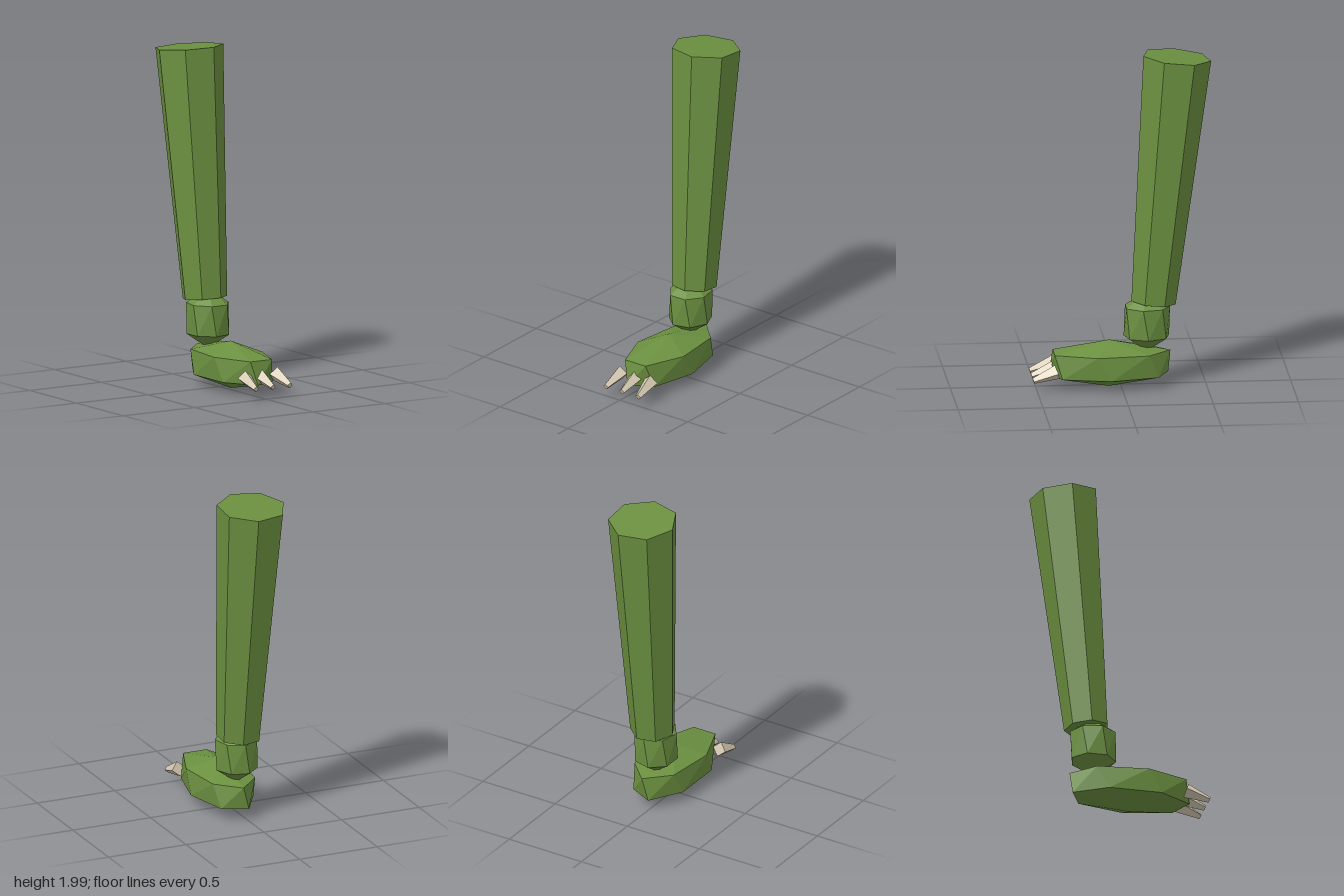
import * as THREE from 'three';
import { ConvexGeometry } from 'three/addons/geometries/ConvexGeometry.js';

const SIDES = 7;
const STEP = (Math.PI * 2) / SIDES;

// Low-poly pebble: two poles and two seven-sided rings, the lower ring twisted by a quarter step
function pebble(rx, ry, rz) {
  const points = [new THREE.Vector3(0, ry, 0), new THREE.Vector3(0, -ry, 0)];
  for (let i = 0; i < SIDES; i++) {
    for (const [y, turn] of [[0.5, 0.5], [-0.5, 0.75]]) {
      const a = (i + turn) * STEP;
      points.push(new THREE.Vector3(
        Math.sin(a) * rx * 0.866, y * ry, Math.cos(a) * rz * 0.866));
    }
  }
  return new ConvexGeometry(points);
}

// Tapered prism running from point a to point b
function taper(name, a, b, ra, rb, sides, start, material) {
  const from = new THREE.Vector3(...a);
  const to = new THREE.Vector3(...b);
  const axis = to.clone().sub(from);
  const mesh = new THREE.Mesh(
    new THREE.CylinderGeometry(rb, ra, axis.length(), sides, 1, false, start), material);
  mesh.name = name;
  mesh.position.copy(from).add(to).multiplyScalar(0.5);
  mesh.quaternion.setFromUnitVectors(new THREE.Vector3(0, 1, 0), axis.normalize());
  return mesh;
}

export function createModel() {
  const skin = new THREE.MeshStandardMaterial({ color: 0x6b9040 });
  skin.name = 'green skin';
  skin.flatShading = true;
  const horn = new THREE.MeshStandardMaterial({ color: 0xd2c6ae });
  horn.name = 'claw horn';
  horn.flatShading = true;

  const model = new THREE.Group();
  model.name = 'clawedLeg';

  // Shin, leaning back and widening upwards
  model.add(taper('shin', [0.019, 0.507, -0.19], [0, 1.98, -0.33],
    0.134, 0.205, SIDES, -Math.PI / 2, skin));

  // Ankle joint
  const ankle = new THREE.Mesh(pebble(0.144, 0.18, 0.158), skin);
  ankle.name = 'ankle';
  ankle.position.set(0.02, 0.39, -0.153);
  model.add(ankle);

  // Foot
  const foot = new THREE.Mesh(pebble(0.2, 0.14, 0.416), skin);
  foot.name = 'foot';
  foot.position.set(0.033, 0.147, 0.07);
  model.add(foot);

  // Three slightly splayed claws
  const claws = new THREE.Group();
  claws.name = 'claws';
  for (const side of [-1, 0, 1]) {
    claws.add(taper('claw', [0.033 + side * 0.108, 0.127, 0.384],
      [0.033 + side * 0.118, 0.078, 0.524], 0.045, 0.018, 4, 0, horn));
  }
  model.add(claws);

  return model;
}
